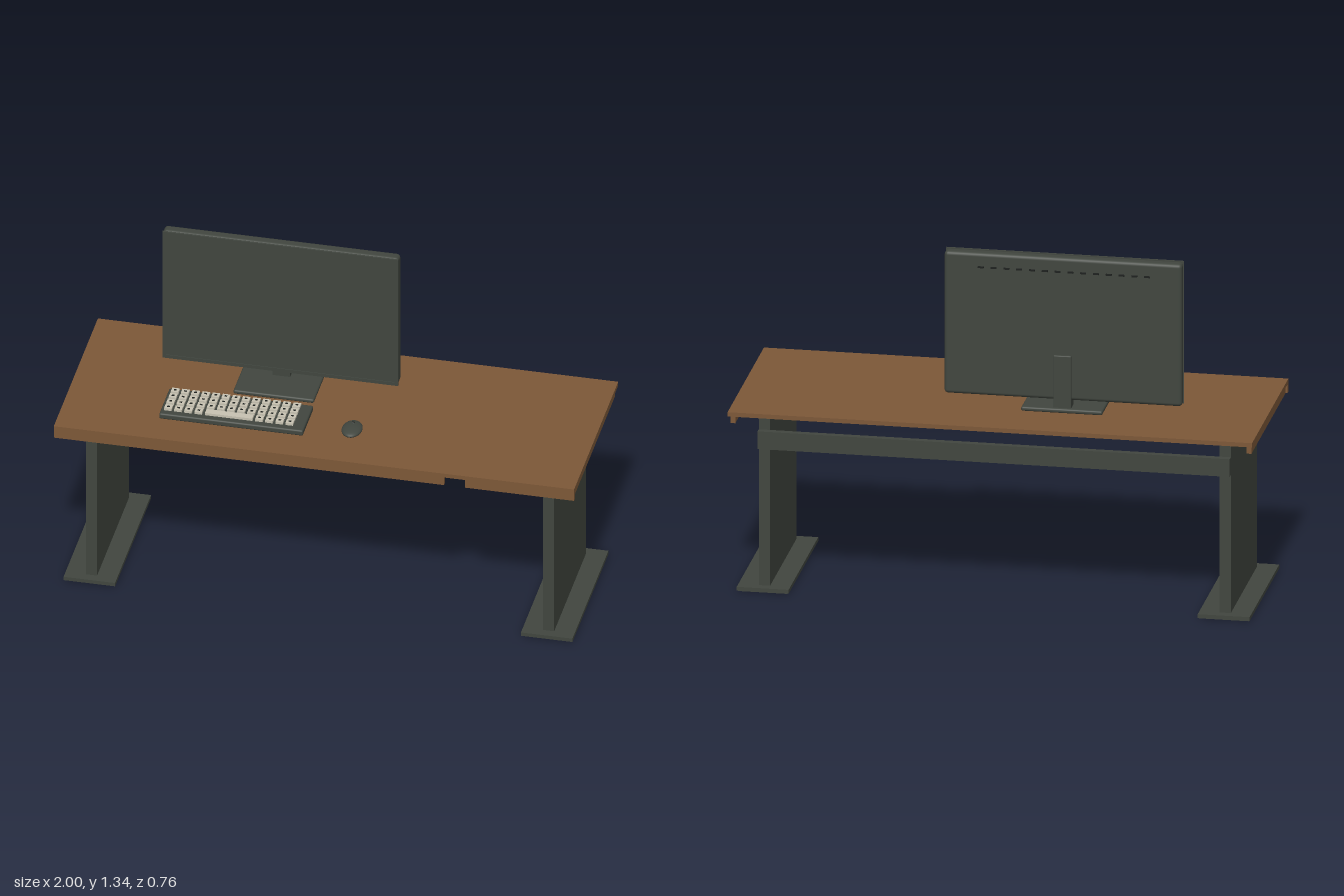
import * as THREE from 'three';
import { RoundedBoxGeometry } from 'three/addons/geometries/RoundedBoxGeometry.js';

const mat = (name, color) => Object.assign(new THREE.MeshStandardMaterial({ color }), { name });

export function createModel() {
  const wood = mat('wood', 0x7d5838);
  const metal = mat('dark metal', 0x41463f);
  const keyMat = mat('key beige', 0xc8c3b2);
  const black = mat('black', 0x1d201e);
  const model = new THREE.Group();
  model.name = 'computerDesk';

  const group = (name) => {
    const g = new THREE.Group();
    g.name = name;
    model.add(g);
    return g;
  };
  const add = (parent, name, geometry, material) => {
    const m = new THREE.Mesh(geometry, material);
    m.name = name;
    parent.add(m);
    return m;
  };
  // Box given by its extents on each axis, with an optional edge radius
  const box = (parent, name, material, [x0, x1], [y0, y1], [z0, z1], r = 0) => {
    const s = [x1 - x0, y1 - y0, z1 - z0];
    const geo = r ? new RoundedBoxGeometry(...s, 3, r) : new THREE.BoxGeometry(...s);
    const m = add(parent, name, geo, material);
    m.position.set((x0 + x1) / 2, (y0 + y1) / 2, (z0 + z1) / 2);
    return m;
  };

  // Desk: top, split front rail, side rails, panel legs, feet and rear beam
  const desk = group('desk');
  box(desk, 'deskTop', wood, [-1, 1], [0.716, 0.733], [-0.38, 0.38]);
  box(desk, 'frontRailLong', wood, [-1, 0.5], [0.682, 0.716], [0.362, 0.38]);
  box(desk, 'frontRailShort', wood, [0.58, 1], [0.682, 0.716], [0.362, 0.38]);
  for (const s of [-1, 1]) {
    const span = (a, b) => (s > 0 ? [a, b] : [-b, -a]);
    const side = s > 0 ? 'left' : 'right';
    box(desk, side + 'SideRail', wood, span(0.975, 0.993), [0.682, 0.716], [-0.355, 0.355]);
    box(desk, side + 'Leg', metal, span(0.857, 0.9), [0.015, 0.716], [-0.275, 0.275]);
    box(desk, side + 'Foot', metal, span(0.78, 0.978), [0.003, 0.018], [-0.31, 0.31]);
    box(desk, side + 'FootPad', metal, span(0.785, 0.973), [0, 0.004], [-0.305, 0.305]);
  }
  box(desk, 'rearBeam', metal, [-0.9, 0.9], [0.566, 0.636], [-0.3, -0.275]);

  // Monitor: rounded housing, raised bezel, screen, vents and stand
  const monitor = group('monitor');
  box(monitor, 'housing', metal, [-0.69, 0.216], [0.78, 1.343], [-0.153, -0.107], 0.014);
  const frame = new THREE.Shape([[-0.69, 0.78], [0.216, 0.78], [0.216, 1.343], [-0.69, 1.343]]
    .map((p) => new THREE.Vector2(...p)));
  frame.holes.push(new THREE.Path([[-0.676, 0.794], [-0.676, 1.329], [0.202, 1.329], [0.202, 0.794]]
    .map((p) => new THREE.Vector2(...p))));
  add(monitor, 'bezel', new THREE.ExtrudeGeometry(frame, { depth: 0.007, bevelEnabled: false }), metal)
    .position.z = -0.107;
  box(monitor, 'screen', metal, [-0.676, 0.202], [0.794, 1.329], [-0.11, -0.103]);
  for (let i = 0; i < 14; i++) {
    const x = -0.559 + i * 0.0488;
    box(monitor, 'vent', black, [x - 0.011, x + 0.011], [1.286, 1.292], [-0.159, -0.152]);
  }
  box(monitor, 'standNeck', metal, [-0.27, -0.202], [0.745, 0.785], [-0.16, -0.115]);
  box(monitor, 'standSpine', metal, [-0.27, -0.202], [0.745, 0.958], [-0.161, -0.145], 0.004);
  box(monitor, 'standBase', metal, [-0.391, -0.081], [0.735, 0.752], [-0.175, 0.02], 0.007);

  // Keyboard: thirteen columns, four rows, long space bar in the front row
  const keyboard = group('keyboard');
  box(keyboard, 'keyboardBody', metal, [-0.626, -0.073], [0.733, 0.757], [0.063, 0.245], 0.007);
  const key = (x, z, w) => {
    box(keyboard, 'key', keyMat, [x - w / 2, x + w / 2], [0.755, 0.767], [z - 0.014, z + 0.014]);
    if (w < 0.05) {
      box(keyboard, 'keyDot', black, [x - 0.005, x + 0.005], [0.766, 0.768], [z - 0.004, z + 0.004]);
    }
  };
  for (let row = 0; row < 4; row++) {
    for (let col = 0; col < 13; col++) {
      if (row === 3 && col > 3 && col < 9) continue;
      key(-0.598 + col * 0.0389, 0.088 + row * 0.0388, 0.029);
    }
  }
  key(-0.364, 0.2044, 0.182);

  // Mouse: flattened ellipsoid with a small wheel
  const mouse = group('mouse');
  const shell = add(mouse, 'mouseBody', new THREE.SphereGeometry(1, 28, 18), metal);
  shell.scale.set(0.039, 0.0155, 0.057);
  shell.position.set(0.102, 0.75, 0.18);
  const wheel = add(mouse, 'mouseWheel', new THREE.CylinderGeometry(0.008, 0.008, 0.007, 16), black);
  wheel.rotation.z = Math.PI / 2;
  wheel.position.set(0.102, 0.76, 0.157);

  return model;
}
